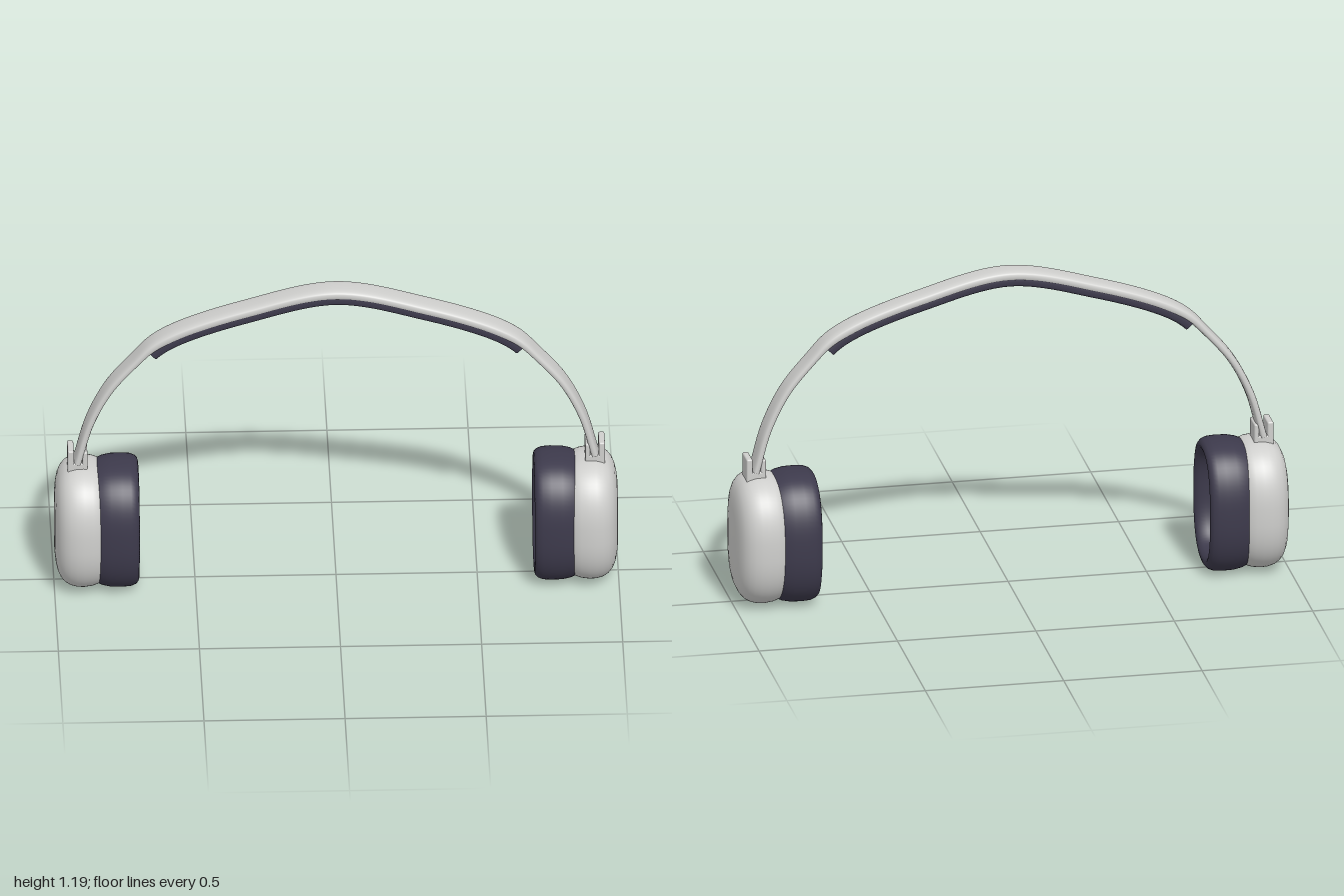
import * as THREE from 'three';
import { RoundedBoxGeometry } from 'three/addons/geometries/RoundedBoxGeometry.js';

const shellMat = new THREE.MeshStandardMaterial({ color: 0xcfcfcd });
shellMat.name = 'lightGrey';
const padMat = new THREE.MeshStandardMaterial({ color: 0x3d3a4c });
padMat.name = 'darkPadding';

// Point on a superellipse
function superPoint(angle, a, b, n) {
  const f = (v) => Math.sign(v) * Math.pow(Math.abs(v), 2 / n);
  return [a * f(Math.cos(angle)), b * f(Math.sin(angle))];
}

// Skin closed rings; point(i, angle) gives a Vector3
function loft(rows, cols, point) {
  const pos = [], index = [];
  for (let i = 0; i < rows; i++)
    for (let j = 0; j < cols; j++) pos.push(...point(i, (j / cols) * Math.PI * 2).toArray());
  for (let i = 0; i < rows - 1; i++)
    for (let j = 0; j < cols; j++) {
      const a = i * cols + j, c = i * cols + ((j + 1) % cols);
      index.push(a, a + cols, c, c, a + cols, c + cols);
    }
  const g = new THREE.BufferGeometry();
  g.setAttribute('position', new THREE.Float32BufferAttribute(pos, 3));
  g.setIndex(index);
  g.computeVertexNormals();
  return g;
}

// Rounded oval stack along x; profile entries are [x, inset], inset null = centre
function oval(profile, halfZ, halfY) {
  return loft(profile.length, 72, (i, angle) => {
    const [x, d] = profile[i];
    const [z, y] = d === null ? [0, 0] : superPoint(angle, halfZ - d, halfY - d, 2.5);
    return new THREE.Vector3(x, 0.243 + y, z);
  });
}

// Outer line of the headband, mirrored about x = 0
const half = [[0.33, 1.12], [0.57, 1.035], [0.66, 0.98], [0.72, 0.915], [0.815, 0.8], [0.885, 0.66], [0.93, 0.5]];
const arc = new THREE.CatmullRomCurve3([
  ...half.map(([x, y]) => new THREE.Vector3(-x, y, 0)).reverse(),
  new THREE.Vector3(0, 1.192, 0),
  ...half.map(([x, y]) => new THREE.Vector3(x, y, 0)),
]);

// Strip following the arc, between two depths below the outer line, with end caps
function strip(u0, u1, top, bottom, halfWidth, power) {
  const n = 90;
  return loft(n + 5, 28, (i, angle) => {
    const k = THREE.MathUtils.clamp(i - 2, 0, n);
    const u = u0 + ((u1 - u0) * k) / n;
    const t = arc.getTangentAt(u), p = arc.getPointAt(u);
    const up = new THREE.Vector3(-t.y, t.x, 0);
    const lower = bottom(u), cap = i === 0 || i === n + 4;
    const [z, h] = cap ? [0, 0] : superPoint(angle, halfWidth, (lower - top) / 2, power);
    p.addScaledVector(up, h - (top + lower) / 2);
    p.z = z;
    return p;
  });
}

function addMesh(parent, name, geometry, material) {
  const mesh = new THREE.Mesh(geometry, material);
  mesh.name = name;
  parent.add(mesh);
  return mesh;
}

function addBox(parent, name, x0, x1, y0, y1, depth) {
  const box = new RoundedBoxGeometry(x1 - x0, y1 - y0, depth, 3, 0.006);
  addMesh(parent, name, box, shellMat).position.set((x0 + x1) / 2, (y0 + y1) / 2, 0);
}

function createEarpiece(name) {
  const g = new THREE.Group();
  g.name = name;
  // Domed shell with a flat inner plate
  addMesh(g, 'cupShell', oval([
    [0.835, null], [0.835, 0.02], [0.835, 0.02], [0.845, 0.011], [0.865, 0.004], [0.895, 0],
    [0.92, 0.001], [0.943, 0.007], [0.962, 0.018], [0.977, 0.035], [0.987, 0.056],
    [0.994, 0.085], [0.998, 0.12], [1.0, null],
  ], 0.187, 0.237), shellMat);
  // Hollow ear cushion
  addMesh(g, 'earCushion', oval([
    [0.85, 0.06], [0.79, 0.061], [0.74, 0.057], [0.718, 0.051], [0.705, 0.042], [0.7, 0.03],
    [0.703, 0.018], [0.712, 0.009], [0.73, 0.002], [0.76, 0], [0.8, 0.001], [0.83, 0.007], [0.85, 0.016],
  ], 0.181, 0.241), padMat);
  // Slotted hinge that holds the band end
  addBox(g, 'hingeOuterPlate', 0.93, 0.952, 0.46, 0.55, 0.084);
  addBox(g, 'hingeBase', 0.882, 0.95, 0.455, 0.5, 0.084);
  addBox(g, 'hingeInnerLip', 0.882, 0.9, 0.46, 0.545, 0.084);
  return g;
}

export function createModel() {
  const model = new THREE.Group();
  model.name = 'headphones';

  // Headband, thinner towards the arms
  const thickness = (u) => 0.028 + 0.012 * (1 - THREE.MathUtils.smoothstep(Math.abs(u - 0.5), 0.24, 0.32));
  addMesh(model, 'headband', strip(0, 1, 0, thickness, 0.047, 3), shellMat);
  addMesh(model, 'headbandPad', strip(0.213, 0.787, 0.018, () => 0.06, 0.0455, 4), padMat);

  // Earpieces
  model.add(createEarpiece('leftEarpiece'));
  const right = createEarpiece('rightEarpiece');
  right.rotation.y = Math.PI;
  model.add(right);
  return model;
}
